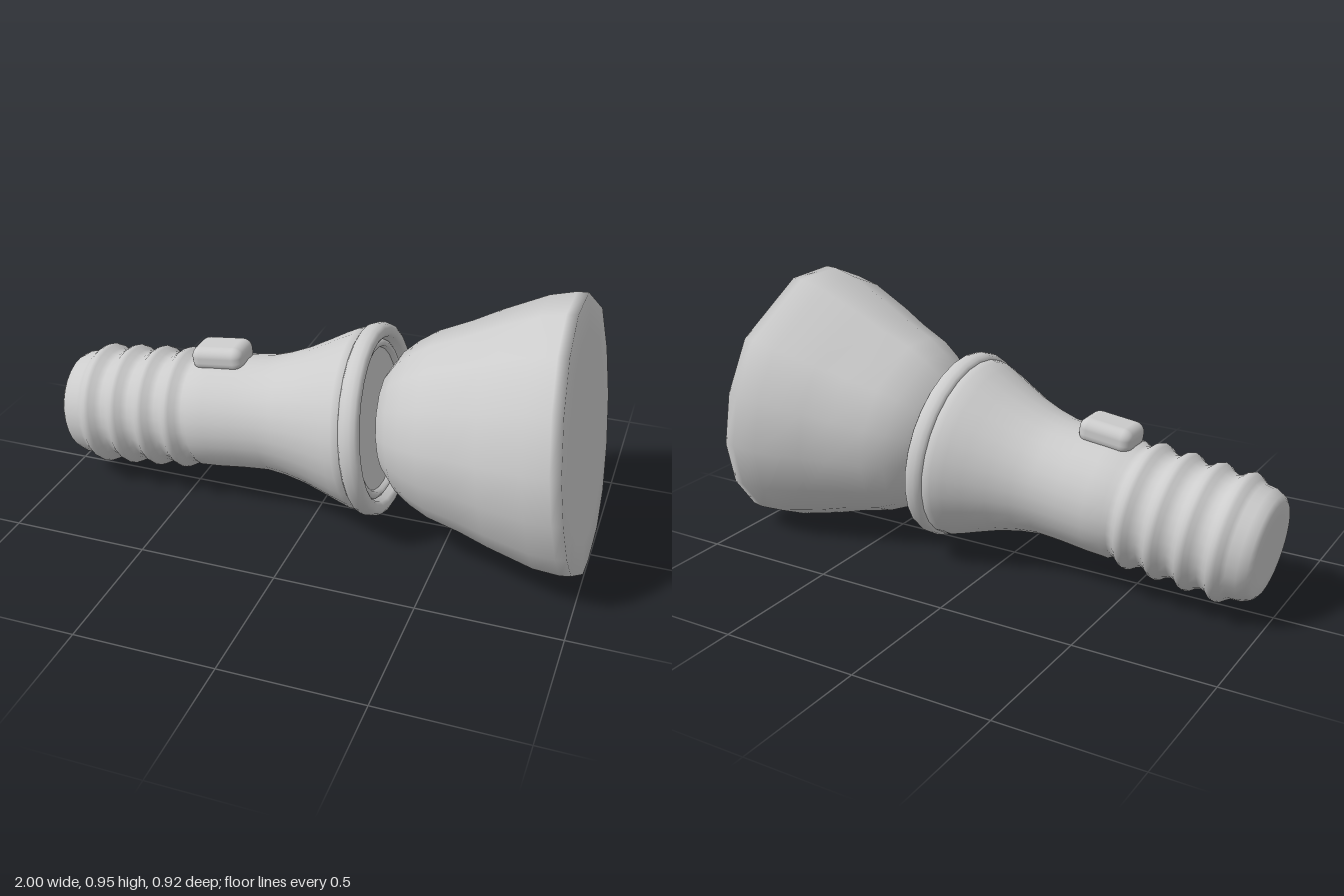
import * as THREE from 'three';
import { RoundedBoxGeometry } from 'three/addons/geometries/RoundedBoxGeometry.js';

const grey = new THREE.MeshStandardMaterial({ color: 0xcccccc });
grey.name = 'lightGrey';

function part(name, geometry) {
  const mesh = new THREE.Mesh(geometry, grey);
  mesh.name = name;
  return mesh;
}

// Turned part lying along +x; profile points are [distance along axis, radius]
function turned(profile, segments = 28) {
  const points = profile.map(([s, r]) => new THREE.Vector2(r, s));
  return new THREE.LatheGeometry(points, segments).rotateZ(-Math.PI / 2);
}

// Rounded tail, four grip ribs, then the plain tube and its flare
function handleProfile() {
  const p = [[0, 0], [0, 0.12], [0.002, 0.165], [0.015, 0.182], [0.045, 0.196], [0.08, 0.2]];
  for (let i = 0; i < 4; i++) {
    const c = 0.125 + i * 0.11;
    p.push([c - 0.03, 0.21], [c - 0.015, 0.222], [c, 0.227], [c + 0.015, 0.222], [c + 0.032, 0.207], [c + 0.055, 0.2]);
  }
  p.push([0.53, 0.212], [0.6, 0.214], [0.7, 0.212], [0.8, 0.214], [0.87, 0.228],
    [0.95, 0.252], [1.03, 0.285], [1.09, 0.311], [1.13, 0.326], [1.165, 0.33], [1.175, 0.3]);
  return p;
}

// Uneven rounded outline of the beam's wide end, [z, y], anticlockwise seen from +x
const outline = [
  [0.1, 0.96], [-0.1, 0.955], [-0.365, 0.785], [-0.445, 0.595], [-0.458, 0.4], [-0.4, 0.225],
  [-0.29, 0.09], [-0.15, 0.02], [0.045, 0.005], [0.155, 0.02], [0.36, 0.15], [0.42, 0.25],
  [0.46, 0.4], [0.46, 0.57], [0.39, 0.75], [0.265, 0.89],
].reverse().map(([z, y]) => [z / 0.472, (y - 0.483) / 0.472]);

// Beam: rings of [distance, radius, blend from circle to outline]
function beamGeometry() {
  const rings = [
    [1.228, 0, 0], [1.228, 0.12, 0], [1.25, 0.19, 0], [1.3, 0.253, 0.1], [1.36, 0.297, 0.2],
    [1.43, 0.334, 0.3], [1.55, 0.372, 0.5], [1.65, 0.41, 0.7], [1.81, 0.462, 0.9],
    [1.9, 0.474, 1], [1.938, 0.472, 1], [1.94, 0.36, 0.9], [1.94, 0, 0],
  ];
  const n = outline.length, positions = [], index = [];
  rings.forEach(([s, r, blend], i) => {
    outline.forEach(([z, y], j) => {
      const k = r * (1 + (1 / Math.hypot(z, y) - 1) * (1 - blend));
      positions.push(s, y * k, z * k);
      if (i === rings.length - 1) return;
      const a = i * n + j, b = i * n + (j + 1) % n;
      if (i > 0) index.push(a, b, a + n);
      if (i < rings.length - 2) index.push(b, b + n, a + n);
    });
  });
  const g = new THREE.BufferGeometry();
  g.setAttribute('position', new THREE.Float32BufferAttribute(positions, 3));
  g.setIndex(index);
  g.computeVertexNormals();
  return g;
}

export function createModel() {
  const model = new THREE.Group();
  model.name = 'flashlight';

  // Everything follows one axis that climbs gently toward +x
  const axis = new THREE.Group();
  axis.name = 'tiltedAxis';
  axis.position.set(-0.98, 0.255, 0);
  axis.rotation.z = 0.118;
  model.add(axis);

  const torch = new THREE.Group();
  torch.name = 'torch';
  torch.position.z = -0.012;
  axis.add(torch);

  torch.add(part('handle', turned(handleProfile())));

  // Rounded head rim with a stepped recess
  torch.add(part('headRim', turned([
    [1.16, 0.31], [1.16, 0.33], [1.168, 0.341], [1.185, 0.346], [1.205, 0.346], [1.222, 0.34],
    [1.23, 0.328], [1.23, 0.308], [1.222, 0.296], [1.2, 0.29], [1.192, 0.28],
  ])));
  torch.add(part('lensRing', turned([
    [1.18, 0.292], [1.2, 0.285], [1.208, 0.275], [1.206, 0.262], [1.185, 0.255],
  ])));
  torch.add(part('lens', turned([[1.19, 0.3], [1.19, 0]])));

  // Push switch on top of the tube
  const button = part('switch', new RoundedBoxGeometry(0.2, 0.09, 0.146, 4, 0.036));
  button.position.set(0.622, 0.228, 0);
  torch.add(button);

  // Widening light beam
  axis.add(part('beam', beamGeometry()));

  return model;
}
